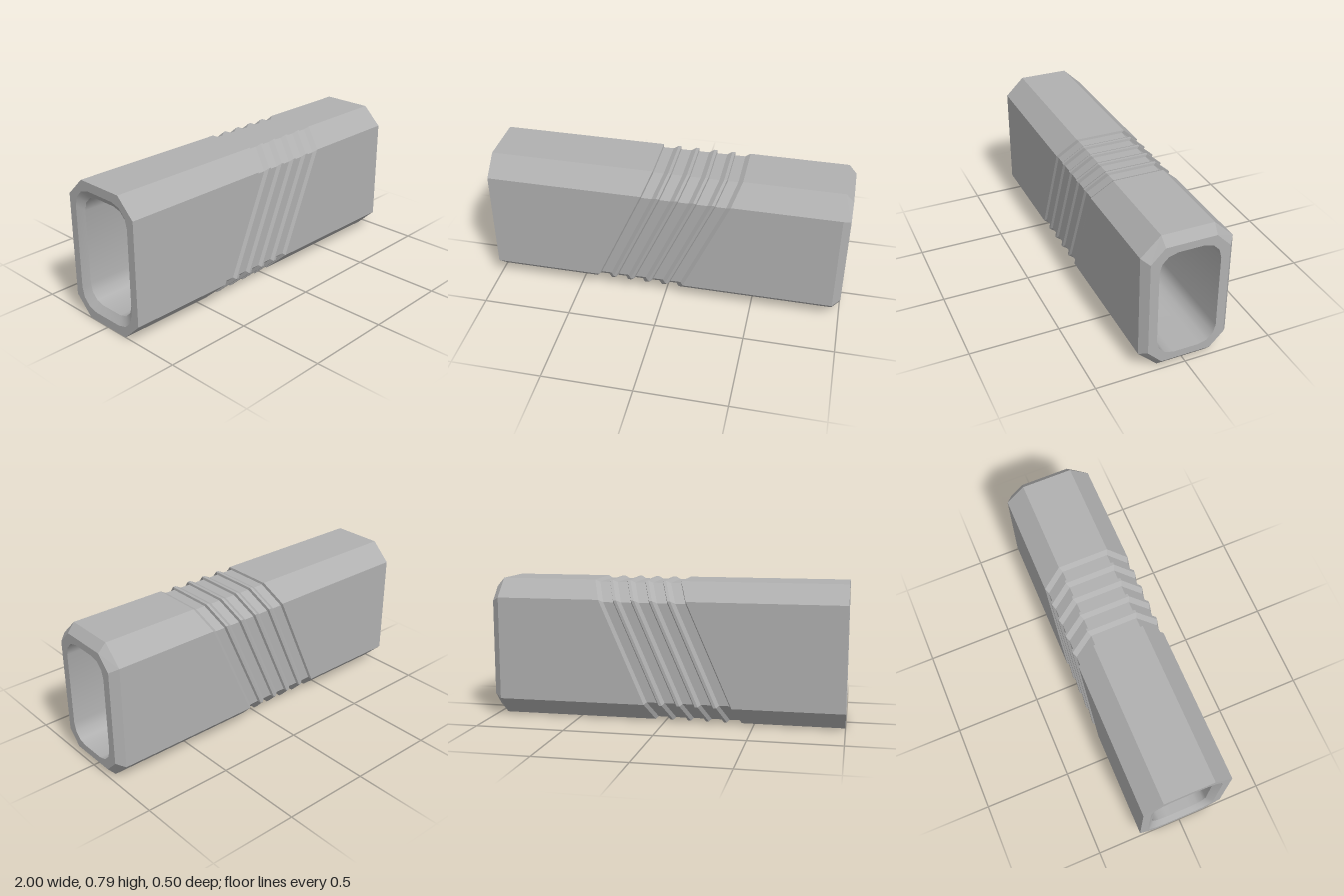
import * as THREE from 'three';
import { toCreasedNormals } from 'three/addons/utils/BufferGeometryUtils.js';

const MID = 0.395; // height of the tube axis
const SLANT = 0.44; // lean of the grooves along x per unit of height

// Rectangle section with cut corners, as [u, y] points (u = -z), counterclockwise
function octagon(hw, hh, cw, ch) {
  return [
    [hw, ch - hh], [hw, hh - ch], [hw - cw, hh], [cw - hw, hh],
    [-hw, hh - ch], [-hw, ch - hh], [cw - hw, -hh], [hw - cw, -hh],
  ].map(([u, y]) => [u, y + MID]);
}

// Rectangle section with rounded corners of three segments each
function roundedRect(hw, hh, r) {
  const pts = [];
  [[1, 1], [-1, 1], [-1, -1], [1, -1]].forEach(([sx, sy], q) => {
    for (let i = 0; i <= 3; i++) {
      const a = (q + i / 3) * Math.PI / 2;
      pts.push([sx * (hw - r) + r * Math.cos(a), sy * (hh - r) + r * Math.sin(a) + MID]);
    }
  });
  return pts;
}

// Skin between successive sections placed along x, optionally leaning with height
function loft(rings, inward, crease) {
  const pos = [];
  const vert = ({ pts, x, slant = 0 }, i) => {
    const [u, y] = pts[i % pts.length];
    return [x + slant * y, y, -u];
  };
  for (let k = 0; k < rings.length - 1; k++) {
    for (let i = 0; i < rings[k].pts.length; i++) {
      const a = vert(rings[k], i), b = vert(rings[k], i + 1);
      const c = vert(rings[k + 1], i + 1), d = vert(rings[k + 1], i);
      pos.push(...(inward ? [a, c, b, a, d, c] : [a, b, c, a, c, d]).flat());
    }
  }
  const g = new THREE.BufferGeometry();
  g.setAttribute('position', new THREE.Float32BufferAttribute(pos, 3));
  g.computeVertexNormals();
  return crease ? toCreasedNormals(g, crease) : g;
}

// Flat end ring between an outer section and the bore
function endFace(outer, hole, x) {
  const toV = (pts) => pts.map(([u, y]) => new THREE.Vector2(u, y));
  const shape = new THREE.Shape(toV(outer));
  shape.holes.push(new THREE.Path(toV(hole)));
  const g = new THREE.ShapeGeometry(shape);
  g.rotateY(Math.sign(x) * Math.PI / 2);
  g.translate(x, 0, 0);
  return g;
}

export function createModel() {
  const group = new THREE.Group();
  const grey = new THREE.MeshStandardMaterial({ color: 0xb0b0b0 });
  grey.name = 'grey';
  const add = (name, geometry) => {
    const mesh = new THREE.Mesh(geometry, grey);
    mesh.name = name;
    group.add(mesh);
  };

  const body = octagon(0.25, 0.395, 0.107, 0.103);
  const floor = octagon(0.238, 0.382, 0.107, 0.103);
  const tip = octagon(0.215, 0.347, 0.077, 0.078);
  const bore = roundedRect(0.167, 0.306, 0.096);
  const mouth = roundedRect(0.203, 0.346, 0.11);

  // Outer shell with five slanted grooves and a bevelled end
  const rings = [{ pts: body, x: -1 }];
  for (let i = 0; i < 5; i++) {
    const s = -0.43 + i * 0.102;
    rings.push(
      { pts: body, x: s, slant: SLANT },
      { pts: floor, x: s + 0.008, slant: SLANT },
      { pts: floor, x: s + 0.065, slant: SLANT },
      { pts: body, x: s + 0.086, slant: SLANT },
    );
  }
  rings.push({ pts: body, x: 0.957 }, { pts: tip, x: 1 });
  add('outerShell', loft(rings, false));

  // Bore running the full length, with a countersunk mouth
  add('bore', loft([{ pts: bore, x: -0.97 }, { pts: bore, x: 1 }], true, 0.6));
  add('boreMouth', loft([{ pts: mouth, x: -1 }, { pts: bore, x: -0.97 }], true, 0.6));

  // End rings
  add('bevelledEnd', endFace(tip, bore, 1));
  add('plainEnd', endFace(body, mouth, -1));
  return group;
}
